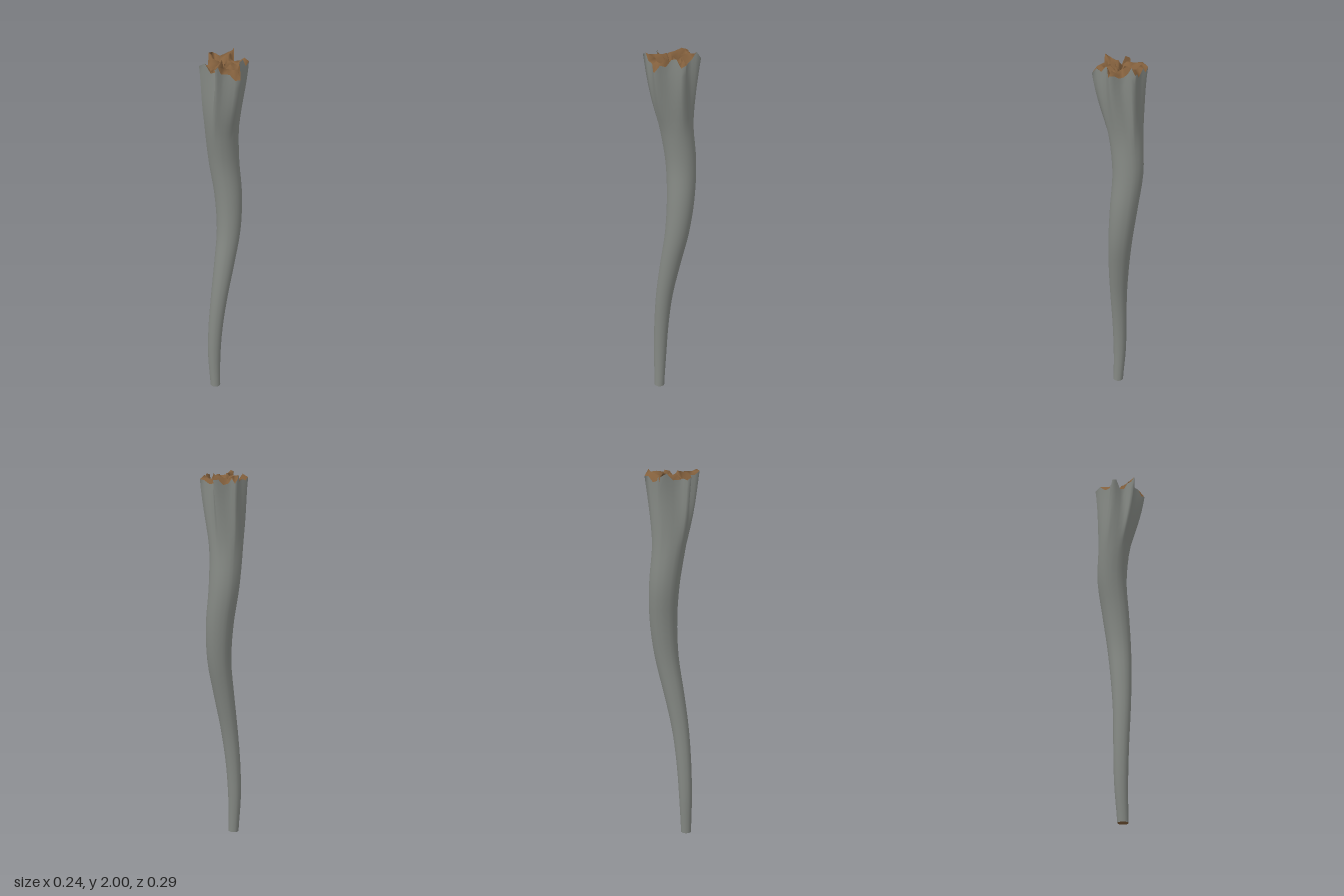
import * as THREE from 'three';

// centreline and radius: y, x, z, r
const SPINE = [
  [0, -0.024, 0.074, 0.028], [0.2, -0.032, 0.070, 0.035], [0.4, -0.027, 0.061, 0.040],
  [0.6, -0.013, 0.042, 0.046], [0.8, 0.001, 0.008, 0.055], [1.0, 0.009, -0.030, 0.064],
  [1.2, -0.003, -0.048, 0.073], [1.4, -0.027, -0.045, 0.080], [1.6, -0.027, -0.021, 0.087],
  [1.8, -0.018, -0.006, 0.096], [2.0, 0, 0, 0.1],
];
// splintered rim, alternating tip and valley: x, z, y
const STAR = [
  [-0.019, -0.145, 1.965], [0.013, -0.080, 1.94], [0.092, -0.084, 1.96], [0.076, -0.009, 1.98],
  [0.119, 0.070, 1.925], [0.042, 0.096, 1.95], [0.015, 0.141, 1.985], [-0.012, 0.068, 1.94],
  [-0.097, 0.088, 1.965], [-0.080, 0.027, 1.95], [-0.122, -0.071, 1.97], [-0.075, -0.085, 1.945],
];
const SUB = 3, N = STAR.length * SUB, ROWS = 36;

let seed = 11;
const rand = () => (seed = (seed * 16807) % 2147483647) / 2147483647;

const posCurve = new THREE.CatmullRomCurve3(SPINE.map(([y, x, z]) => new THREE.Vector3(x, y, z)));
const radCurve = new THREE.SplineCurve(SPINE.map(([y, , , r]) => new THREE.Vector2(y, r)));

// rim points with small extra splinters between the main ones
function makeRim() {
  const rim = [];
  STAR.forEach((a, i) => {
    const b = STAR[(i + 1) % STAR.length];
    const a0 = Math.atan2(a[1], a[0]);
    let da = Math.atan2(b[1], b[0]) - a0;
    if (da < 0) da += Math.PI * 2;
    for (let k = 0; k < SUB; k++) {
      const f = k / SUB, mix = (j) => a[j] + (b[j] - a[j]) * f;
      const jag = k === 0 ? 0 : (k === 1 ? -0.03 : 0.03) * rand();
      rim.push({ x: mix(0), z: mix(1), y: Math.min(2, mix(2) + jag), angle: a0 + da * f });
    }
  });
  rim[1].y = 2;
  return rim;
}

// joins closed rings of N points; angle runs from +x to +z, rows run upward or inward
function skin(rings, centre) {
  const pos = rings.flat(2), idx = [];
  for (let r = 0; r < rings.length - 1; r++) {
    for (let i = 0; i < N; i++) {
      const j = (i + 1) % N, a = r * N + i, b = r * N + j;
      idx.push(a, a + N, b, b, a + N, b + N);
    }
  }
  if (centre) {
    const c = pos.length / 3, base = (rings.length - 1) * N;
    pos.push(...centre);
    for (let i = 0; i < N; i++) idx.push(base + i, c, base + ((i + 1) % N));
  }
  const geo = new THREE.BufferGeometry();
  geo.setAttribute('position', new THREE.Float32BufferAttribute(pos, 3));
  geo.setIndex(idx);
  geo.computeVertexNormals();
  return geo;
}

export function createModel() {
  const group = new THREE.Group();
  const bark = new THREE.MeshStandardMaterial({ name: 'grey bark', color: 0x858984, side: THREE.DoubleSide });
  const wood = new THREE.MeshStandardMaterial({ name: 'brown wood', color: 0x83603d, side: THREE.DoubleSide });
  const add = (name, geo, mat) => {
    const mesh = new THREE.Mesh(geo, mat);
    mesh.name = name;
    group.add(mesh);
  };
  const rim = makeRim();

  // shaft: round below, drawn out into the splintered star at the top
  const rings = [];
  for (let r = 0; r <= ROWS; r++) {
    const t = r / ROWS;
    const c = posCurve.getPoint(t), rad = radCurve.getPoint(t).y;
    const w = Math.pow(Math.max(0, (t - 0.79) / 0.21), 1.2);
    rings.push(rim.map((p) => [
      THREE.MathUtils.lerp(c.x + rad * Math.cos(p.angle), p.x, w),
      t * 2 + (p.y - 2) * w,
      THREE.MathUtils.lerp(c.z + rad * Math.sin(p.angle), p.z, w),
    ]));
  }
  add('shaft', skin(rings), bark);

  // broken end: rough surface stepping inward from the rim
  const top = [1, 0.8, 0.58, 0.34, 0.15].map((s, k) => {
    const knots = Array.from({ length: 12 }, () => 1.945 + (rand() - 0.5) * 0.09);
    return rim.map((p, i) => {
      const q = Math.floor(i / SUB), f = (i % SUB) / SUB;
      const y = k === 0 ? p.y : THREE.MathUtils.lerp(knots[q], knots[(q + 1) % 12], f);
      return [p.x * s, y, p.z * s];
    });
  });
  add('brokenEnd', skin(top, [0, 1.945, 0]), wood);

  // flat cut at the thin end
  const [, bx, bz, br] = SPINE[0];
  const cut = new THREE.CircleGeometry(br, 24).rotateX(Math.PI / 2).translate(bx, 0, bz);
  add('cutEnd', cut, wood);
  return group;
}
